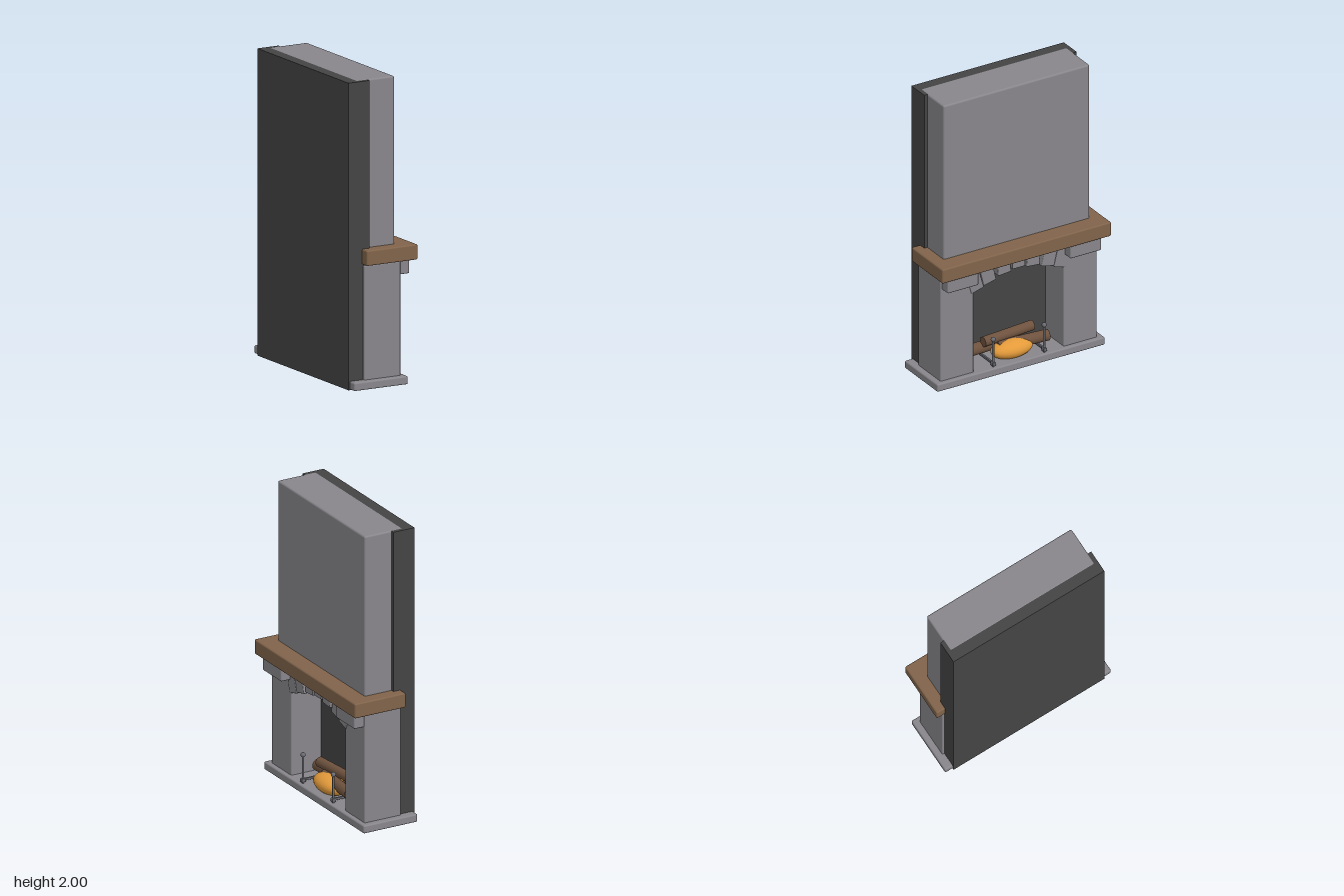
import * as THREE from 'three';
import { RoundedBoxGeometry } from 'three/addons/geometries/RoundedBoxGeometry.js';

const material = (name, color) => {
  const m = new THREE.MeshStandardMaterial({ color });
  m.name = name;
  return m;
};

export function createModel() {
  const stone = material('grey stone', 0x88868b);
  const soot = material('dark soot', 0x444444);
  const oak = material('mantel wood', 0x80634a);
  const bark = material('log bark', 0x6e523e);
  const ember = material('fire orange', 0xe39a3a);
  const iron = material('iron', 0x6b6d74);
  const model = new THREE.Group();
  model.name = 'fireplace';

  const add = (name, geometry, mat, parent = model) => {
    const mesh = new THREE.Mesh(geometry, mat);
    mesh.name = name;
    parent.add(mesh);
    return mesh;
  };
  // Softened block given by its limits on each axis
  const block = (name, [x0, x1], [y0, y1], [z0, z1], mat, r = 0.008) => {
    const mesh = add(name, new RoundedBoxGeometry(x1 - x0, y1 - y0, z1 - z0, 2, r), mat);
    mesh.position.set((x0 + x1) / 2, (y0 + y1) / 2, (z0 + z1) / 2);
    return mesh;
  };

  // Back wall, hearth slab, chimney breast and mantel shelf
  add('backWall', new THREE.BoxGeometry(0.155, 1.998, 1.136), soot).position.set(-0.1615, 0.999, 0);
  block('hearth', [-0.23, 0.167], [0.003, 0.057], [-0.625, 0.625], stone, 0.01);
  block('chimneyBreast', [-0.168, 0.113], [0.86, 2], [-0.545, 0.545], stone, 0.012);
  block('mantel', [-0.14, 0.235], [0.807, 0.907], [-0.63, 0.63], oak, 0.01);

  // Pillars and corbels
  for (const s of [-1, 1]) {
    const span = (a, b) => (s > 0 ? [a, b] : [-b, -a]);
    block('pillar', [-0.132, 0.136], [0.05, 0.8], span(0.335, 0.583), stone);
    block('corbel', [-0.128, 0.207], [0.71, 0.808], span(0.342, 0.573), stone);
  }

  // Arch stones: position of the lower edge and tilt, mirrored about the keystone
  const archStones = [[0, 0.711, 0], [0.105, 0.696, 0.09], [0.215, 0.663, 0.23], [0.307, 0.631, 0.27]];
  const archHeight = 0.15;
  for (const [z, y, tilt] of archStones) {
    for (const s of z ? [-1, 1] : [1]) {
      const mesh = add('archStone', new RoundedBoxGeometry(0.235, archHeight, 0.096, 2, 0.006), stone);
      mesh.rotation.x = s * tilt;
      mesh.position.set(
        0.023,
        y + Math.cos(tilt) * archHeight / 2,
        s * (z + Math.sin(tilt) * archHeight / 2)
      );
    }
  }

  // Stacked logs lying along z
  const log = (x, y, z, length, radius, yaw, roll = 0) => {
    const geometry = new THREE.CylinderGeometry(radius, radius, length, 16).rotateX(Math.PI / 2);
    const mesh = add('log', geometry, bark);
    mesh.position.set(x, y, z);
    mesh.rotation.set(roll, yaw, 0);
  };
  log(-0.03, 0.123, 0.085, 0.37, 0.04, 0.06);
  log(0.045, 0.126, -0.085, 0.36, 0.038, -0.08);
  log(0.0, 0.18, 0, 0.38, 0.034, 0.06, 0.02);

  // Glowing fire mound
  const fire = add('fire', new THREE.SphereGeometry(1, 28, 16), ember);
  fire.scale.set(0.085, 0.062, 0.15);
  fire.position.set(0.05, 0.102, 0);

  // Andirons: post with ball finial, foot and log bar
  for (const s of [-1, 1]) {
    const andiron = new THREE.Group();
    andiron.name = 'andiron';
    andiron.position.set(0.135, 0, s * 0.19);
    model.add(andiron);
    add('post', new THREE.CylinderGeometry(0.007, 0.008, 0.19, 12), iron, andiron).position.y = 0.15;
    add('finial', new THREE.SphereGeometry(0.016, 16, 12), iron, andiron).position.y = 0.25;
    add('foot', new RoundedBoxGeometry(0.03, 0.026, 0.026, 2, 0.005), iron, andiron).position.y = 0.077;
    add('logBar', new RoundedBoxGeometry(0.18, 0.016, 0.014, 2, 0.003), iron, andiron).position.set(-0.09, 0.08, 0);
  }
  return model;
}
